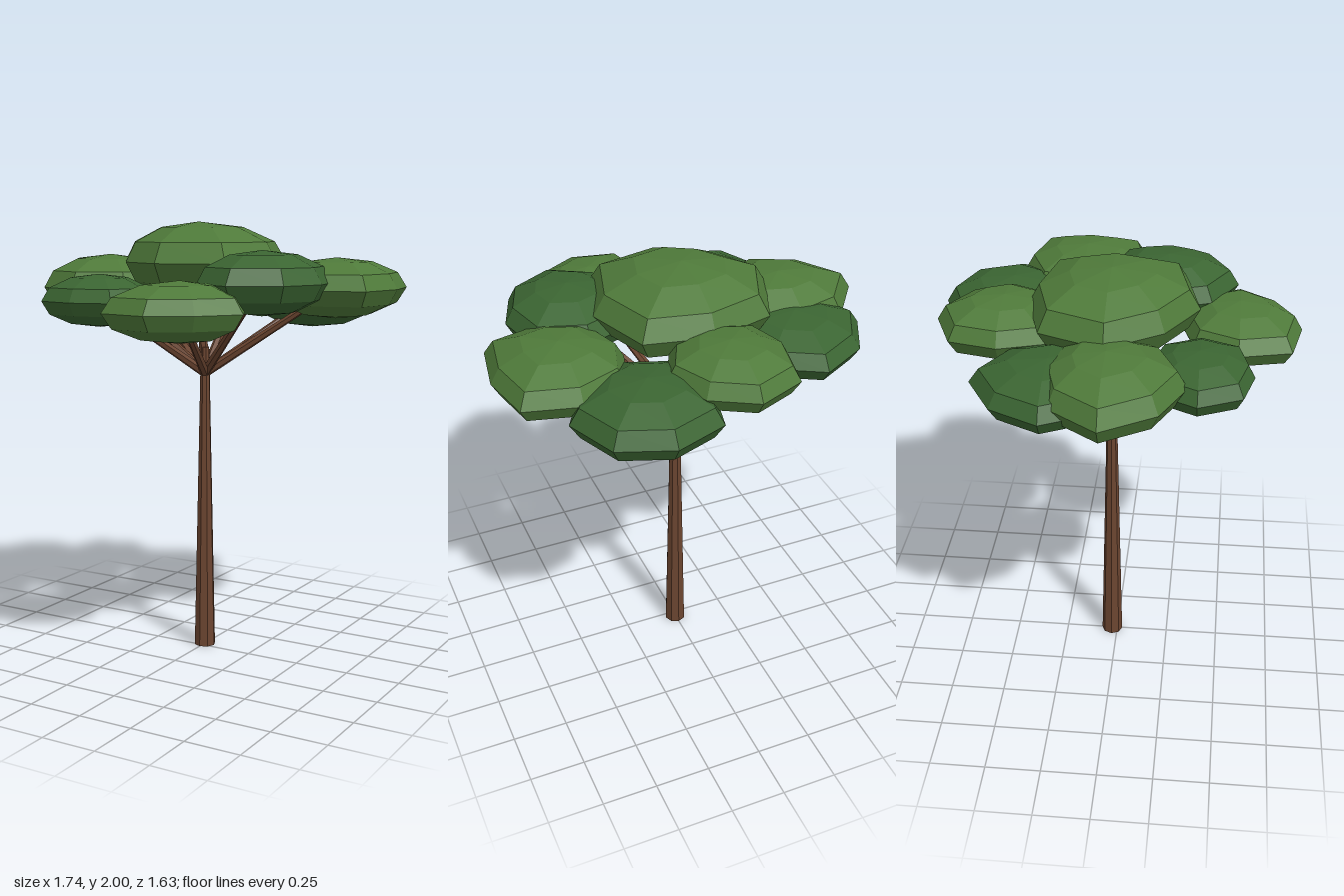
import * as THREE from 'three';

const material = (color) => new THREE.MeshStandardMaterial({ color, flatShading: true });

// Flattened eight-sided leaf clump; radii run around from +x towards +z
function leafClump([x, y, z], height, radii) {
  const geo = new THREE.SphereGeometry(1, 8, 6);
  const p = geo.attributes.position;
  for (let i = 0; i < p.count; i++) {
    const side = (Math.round(Math.atan2(p.getZ(i), p.getX(i)) / (Math.PI / 4)) + 8) % 8;
    const r = radii[side];
    p.setXYZ(i, x + p.getX(i) * r, y + p.getY(i) * height, z + p.getZ(i) * r);
  }
  geo.computeVertexNormals();
  return geo;
}

// Tapered branch between two points
function branch(from, to, r0, r1) {
  const dir = to.clone().sub(from);
  const geo = new THREE.CylinderGeometry(r1, r0, dir.length(), 6);
  geo.translate(0, dir.length() / 2, 0);
  geo.applyQuaternion(new THREE.Quaternion().setFromUnitVectors(
    new THREE.Vector3(0, 1, 0), dir.normalize()));
  return geo.translate(from.x, from.y, from.z);
}

export function createModel() {
  const tree = new THREE.Group();
  tree.name = 'tree';
  const bark = material(0x6b4530);
  const light = material(0x4f7a3a);
  const dark = material(0x3b6532);
  const add = (name, geo, mat) => {
    const mesh = new THREE.Mesh(geo, mat);
    mesh.name = name;
    tree.add(mesh);
  };

  // Trunk
  const fork = new THREE.Vector3(0, 1.31, -0.025);
  add('trunk', new THREE.CylinderGeometry(0.02, 0.05, 1.43, 8).translate(0, 0.715, -0.025), bark);

  // Clumps: name, centre, half height, radii around, material
  const clumps = [
    ['crownTop', [-0.03, 1.82, -0.02], 0.18, [0.4, 0.44, 0.38, 0.34, 0.4, 0.4, 0.36, 0.42], light],
    ['rightClump', [-0.5, 1.697, 0], 0.153, [0.33, 0.32, 0.33, 0.32, 0.37, 0.3, 0.27, 0.3], light],
    ['frontClump', [0.2, 1.63, 0.53], 0.13, [0.3, 0.25, 0.28, 0.33, 0.29, 0.28, 0.26, 0.28], light],
    ['backClump', [-0.05, 1.735, -0.48], 0.13, [0.28, 0.27, 0.28, 0.28, 0.26, 0.3, 0.3, 0.27], light],
    ['leftClump', [0.58, 1.708, -0.19], 0.135, [0.29, 0.35, 0.31, 0.3, 0.28, 0.3, 0.3, 0.34], light],
    ['frontLeftClump', [0.41, 1.74, 0.2], 0.14, [0.28, 0.29, 0.32, 0.29, 0.28, 0.3, 0.3, 0.32], dark],
    ['frontRightClump', [-0.31, 1.655, 0.37], 0.117, [0.26, 0.26, 0.23, 0.26, 0.27, 0.25, 0.23, 0.25], dark],
    ['backRightClump', [-0.46, 1.66, -0.24], 0.125, [0.3, 0.3, 0.29, 0.3, 0.32, 0.3, 0.33, 0.3], dark],
    ['backLeftClump', [0.32, 1.645, -0.5], 0.14, [0.33, 0.3, 0.29, 0.3, 0.29, 0.33, 0.32, 0.33], dark],
  ];
  for (const [name, centre, height, radii, mat] of clumps) {
    add(name, leafClump(centre, height, radii), mat);
    // Branch from the fork into the clump
    const tip = new THREE.Vector3(...centre);
    add(name + 'Branch', branch(fork, tip, 0.022, 0.014), bark);
  }
  return tree;
}
